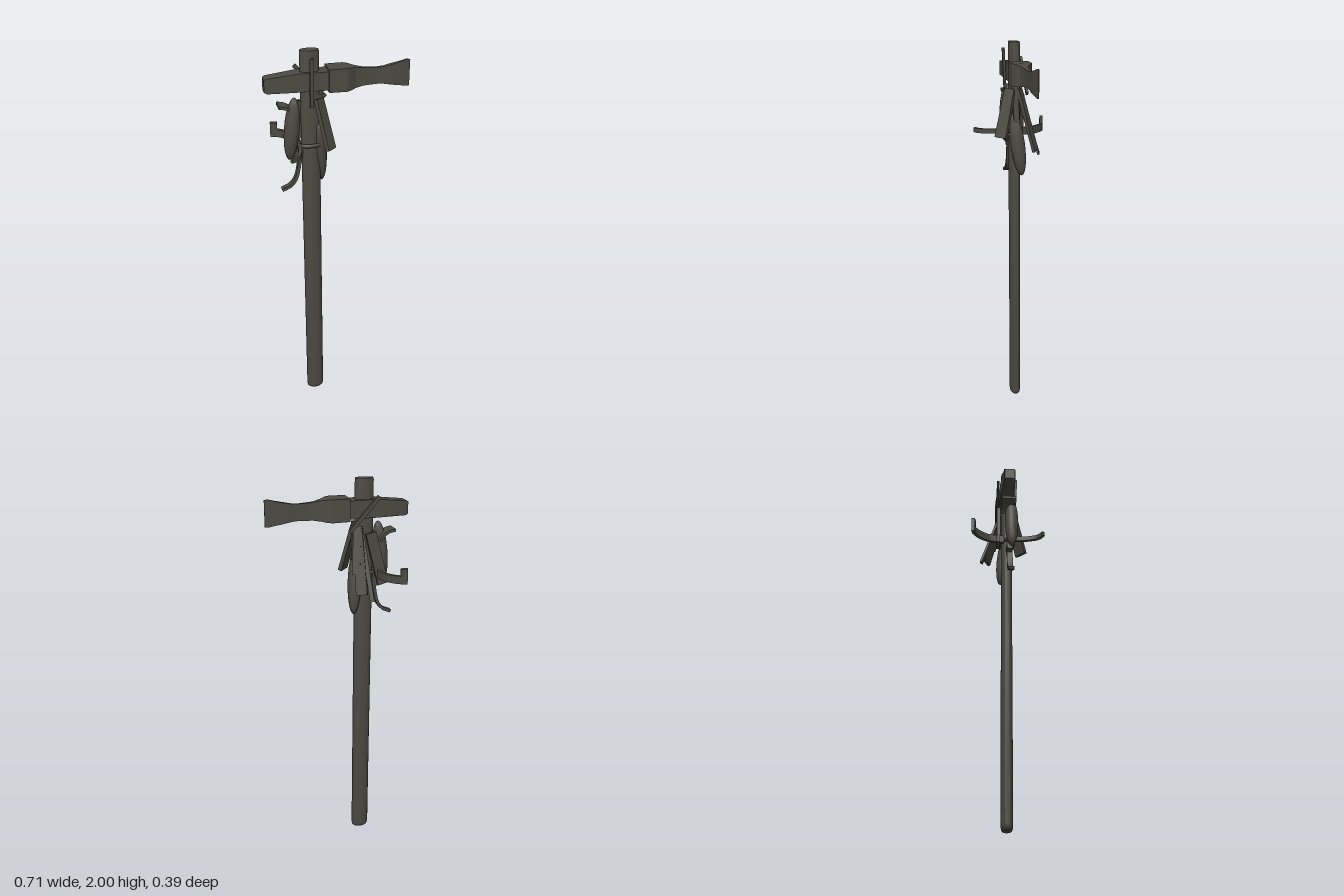
import * as THREE from 'three';
import { toCreasedNormals } from 'three/addons/utils/BufferGeometryUtils.js';

const V = (x, y, z) => new THREE.Vector3(x, y, z);

export function createModel() {
  const model = new THREE.Group();
  const darkStone = new THREE.MeshStandardMaterial({ color: 0x4b4a42 });
  darkStone.name = 'darkStone';

  function add(name, geometry, crease = 0.5) {
    const mesh = new THREE.Mesh(toCreasedNormals(geometry, crease), darkStone);
    mesh.name = name;
    model.add(mesh);
    return mesh;
  }

  // Flat slat running from a to b, its broad face turned towards facing
  function slat(name, a, b, width, thickness, facing, taper = 1) {
    const dir = b.clone().sub(a);
    const g = new THREE.BoxGeometry(width, dir.length(), thickness);
    const p = g.attributes.position;
    for (let i = 0; i < p.count; i++) if (p.getY(i) > 0) p.setX(i, p.getX(i) * taper);
    const y = dir.normalize();
    const x = y.clone().cross(facing).normalize();
    const z = x.clone().cross(y);
    g.applyMatrix4(new THREE.Matrix4().makeBasis(x, y, z));
    const c = a.clone().add(b).multiplyScalar(0.5);
    g.translate(c.x, c.y, c.z);
    return add(name, g);
  }

  // Curved strip in a plane, given a thickness there and a depth across it
  function ribbon(points, thickness, depth) {
    const pts = new THREE.SplineCurve(points.map(p => new THREE.Vector2(...p))).getPoints(9);
    const left = [], right = [];
    pts.forEach((p, i) => {
      const t = pts[Math.min(i + 1, 9)].clone().sub(pts[Math.max(i - 1, 0)]).normalize();
      const n = new THREE.Vector2(-t.y, t.x).multiplyScalar(thickness / 2);
      left.push(p.clone().add(n));
      right.unshift(p.clone().sub(n));
    });
    const g = new THREE.ExtrudeGeometry(new THREE.Shape([...left, ...right]), { depth, bevelEnabled: false });
    return g.translate(0, 0, -depth / 2);
  }

  // Oval handle with a rounded foot
  const profile = [[0, 0], [0.034, 0], [0.043, 0.008], [0.047, 0.025], [0.047, 1.99], [0.045, 2], [0, 2]];
  const handle = new THREE.LatheGeometry(profile.map(p => new THREE.Vector2(...p)), 24);
  handle.scale(1, 1, 0.62).translate(-0.137, 0, 0);
  add('handle', handle, 0.8);

  // Axe head: rectangular stations of [x, bottom, top, half depth]
  function loft(name, stations) {
    const n = stations.length - 1;
    const g = new THREE.BoxGeometry(n, 1, 1, n, 1, 1);
    const p = g.attributes.position;
    for (let i = 0; i < p.count; i++) {
      const [x, lo, hi, d] = stations[Math.round(p.getX(i) + n / 2)];
      p.setXYZ(i, x, p.getY(i) > 0 ? hi : lo, p.getZ(i) > 0 ? d : -d);
    }
    return add(name, g, 0.35);
  }
  loft('hammerPoll', [
    [-0.357, 1.818, 1.878, 0.026], [-0.345, 1.812, 1.884, 0.03],
    [-0.19, 1.811, 1.9, 0.039], [-0.05, 1.811, 1.9, 0.042],
  ]);
  loft('axeBlade', [
    [-0.053, 1.801, 1.912, 0.05], [0.035, 1.8, 1.912, 0.05], [0.055, 1.801, 1.91, 0.04],
    [0.08, 1.804, 1.905, 0.021], [0.12, 1.81, 1.897, 0.011], [0.19, 1.812, 1.893, 0.007],
    [0.225, 1.81, 1.895, 0.009], [0.265, 1.803, 1.903, 0.012], [0.31, 1.795, 1.913, 0.007],
    [0.338, 1.789, 1.921, 0.004], [0.355, 1.79, 1.918, 0.002],
  ]);

  // Lashings beside the head
  slat('frontLashing', V(-0.137, 1.735, 0.046), V(-0.137, 1.97, 0.055), 0.018, 0.012, V(0, 0, 1));
  slat('backLashing', V(-0.2, 1.915, -0.05), V(-0.052, 1.75, -0.048), 0.02, 0.012, V(0, 0, -1));

  // Hanging slats that lean outwards
  slat('frontPanel', V(-0.056, 1.53, 0.088), V(-0.1, 1.77, 0.028), 0.066, 0.02, V(1, 0, 1), 0.85);
  slat('backPanel', V(-0.1, 1.445, -0.105), V(-0.1, 1.77, -0.018), 0.058, 0.016, V(0.6, 0, -1), 0.8);
  slat('backNarrowSlat', V(-0.145, 1.415, -0.135), V(-0.115, 1.77, -0.02), 0.022, 0.012, V(0.3, 0, -1));
  slat('backSideSlat', V(-0.08, 1.54, -0.07), V(-0.1, 1.77, -0.02), 0.04, 0.014, V(0.6, 0, -1));
  slat('backPlate', V(-0.225, 1.48, -0.052), V(-0.16, 1.74, -0.045), 0.055, 0.018, V(0, 0, -1));
  slat('sideTag', V(-0.213, 1.455, 0.01), V(-0.205, 1.51, 0.01), 0.05, 0.03, V(0, 0, 1));
  slat('sideCord', V(-0.085, 1.6, 0), V(-0.095, 1.79, 0.008), 0.03, 0.03, V(0, 0, 1));

  // Swollen pods hanging on both sides
  function pod(name, size, centre, tiltX, tiltZ) {
    const mesh = add(name, new THREE.SphereGeometry(1, 20, 14).scale(...size), 0.9);
    mesh.position.set(...centre);
    mesh.rotation.set(tiltX, 0, tiltZ);
  }
  pod('rightPod', [0.038, 0.158, 0.036], [-0.232, 1.625, 0.02], 0, -0.1);
  pod('leftPod', [0.034, 0.165, 0.038], [-0.09, 1.485, -0.008], 0.12, 0.06);

  // Curved horns sweeping out to front and back
  add('frontHorn', ribbon([[-0.2, 0.02], [-0.206, 0.09], [-0.222, 0.145], [-0.24, 0.17], [-0.268, 0.185]], 0.016, 0.024)
    .rotateX(Math.PI / 2).translate(0, 1.537, 0));
  add('backHorn', ribbon([[-0.2, -0.02], [-0.206, -0.09], [-0.23, -0.14], [-0.265, -0.175], [-0.3, -0.187]], 0.016, 0.04)
    .rotateX(Math.PI / 2).translate(0, 1.532, 0));
  slat('backHornTip', V(-0.288, 1.512, -0.185), V(-0.288, 1.588, -0.185), 0.035, 0.018, V(0.25, 0, -1));

  // Curled strips on the right side
  add('upperCurl', ribbon([[-0.293, 1.742], [-0.262, 1.736], [-0.235, 1.72], [-0.215, 1.69]], 0.014, 0.075));
  add('lowerCurl', ribbon([[-0.188, 1.52], [-0.2, 1.44], [-0.215, 1.37], [-0.245, 1.328], [-0.29, 1.308]], 0.016, 0.03)
    .translate(0, 0, 0.012));

  // Cord binding around the handle
  const cord = new THREE.TorusGeometry(0.05, 0.01, 8, 24).rotateX(Math.PI / 2);
  cord.scale(1.15, 1, 0.75).translate(-0.14, 1.535, 0);
  add('cordBinding', cord, 0.9);

  return model;
}
